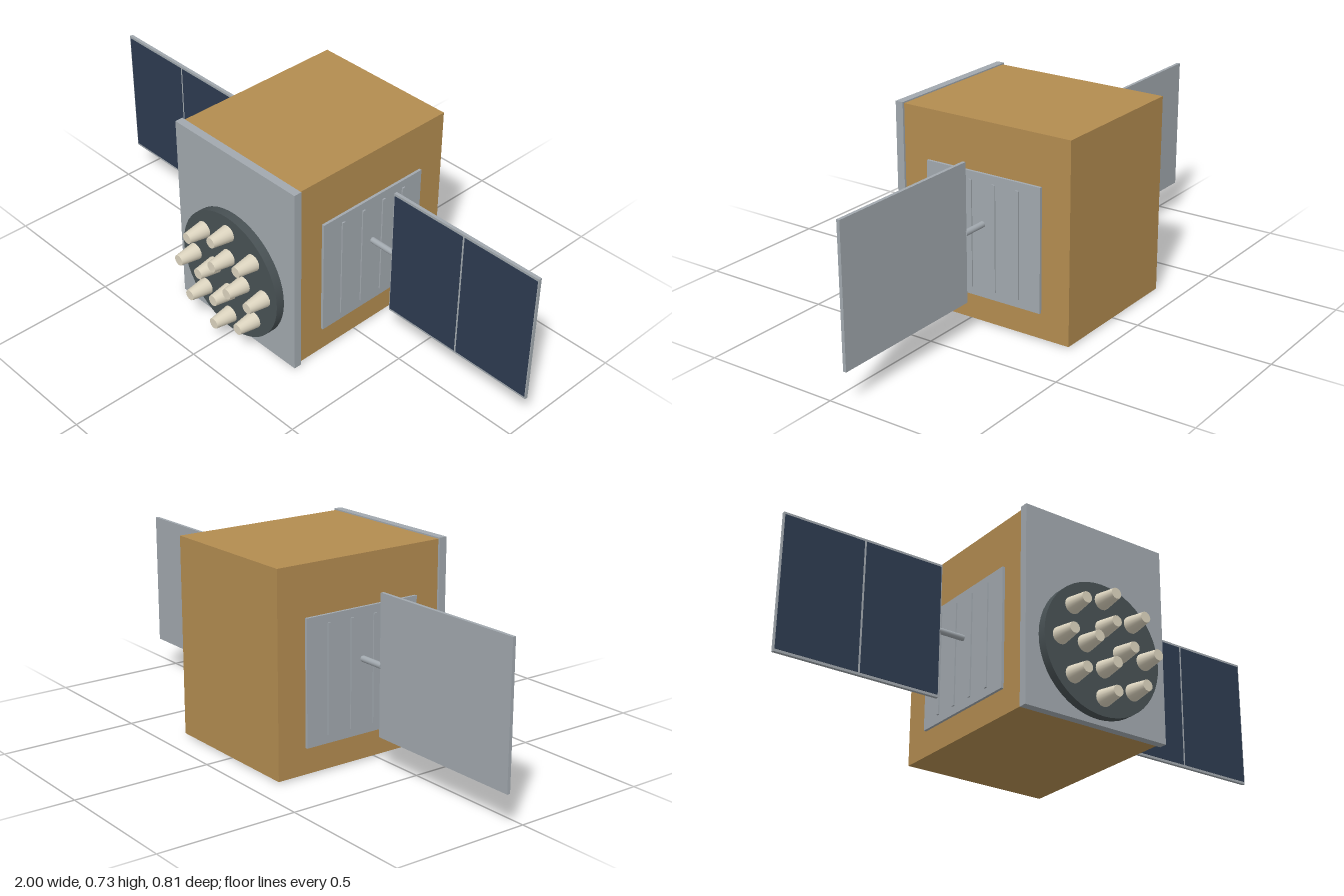
import * as THREE from 'three';

const mat = (name, color) => {
  const m = new THREE.MeshStandardMaterial({ color });
  m.name = name;
  return m;
};

export function createModel() {
  const gold = mat('gold foil', 0xb38c50);
  const grey = mat('light grey metal', 0xa1a8ae);
  const dark = mat('dark grey metal', 0x485154);
  const cream = mat('cream antenna', 0xdbd3be);
  const navy = mat('navy solar cell', 0x2d3b50);

  const root = new THREE.Group();
  root.name = 'satellite';

  const add = (parent, name, geometry, material, x, y, z) => {
    const mesh = new THREE.Mesh(geometry, material);
    mesh.name = name;
    mesh.position.set(x, y, z);
    parent.add(mesh);
    return mesh;
  };
  // Box given by its lower and upper limits
  const box = (parent, name, material, [x0, x1], [y0, y1], [z0, z1]) =>
    add(parent, name, new THREE.BoxGeometry(x1 - x0, y1 - y0, z1 - z0), material,
      (x0 + x1) / 2, (y0 + y1) / 2, (z0 + z1) / 2);

  // Foil-covered body and front plate
  box(root, 'body', gold, [-0.284, 0.284], [0.006, 0.724], [-0.405, 0.265]);
  box(root, 'frontPlate', grey, [-0.292, 0.292], [0, 0.729], [0.265, 0.295]);

  // Round antenna base
  const discY = 0.259;
  add(root, 'antennaBase',
    new THREE.CylinderGeometry(0.24, 0.24, 0.032, 48).rotateX(Math.PI / 2), dark, 0, discY, 0.311);

  // Two rings of tapered helix antennas
  const cone = new THREE.CylinderGeometry(0.02, 0.031, 0.078, 16).rotateX(Math.PI / 2);
  for (const [count, radius] of [[8, 0.176], [4, 0.074]]) {
    for (let i = 0; i < count; i++) {
      const a = (i / count) * Math.PI * 2;
      add(root, 'antenna', cone, cream, Math.cos(a) * radius, discY + Math.sin(a) * radius, 0.366);
    }
  }

  // Radiator, boom and solar wing on each side
  for (const side of [1, -1]) {
    const span = (a, b) => (side > 0 ? [a, b] : [-b, -a]);
    const group = new THREE.Group();
    group.name = side > 0 ? 'leftSide' : 'rightSide';
    root.add(group);

    box(group, 'radiator', grey, span(0.284, 0.294), [0.1, 0.545], [-0.296, 0.165]);
    for (const z of [0.078, -0.017, -0.112, -0.207]) {
      box(group, 'radiatorRib', grey, span(0.293, 0.299), [0.13, 0.516], [z - 0.006, z + 0.006]);
    }

    add(group, 'boom', new THREE.CylinderGeometry(0.011, 0.011, 0.11, 16).rotateZ(Math.PI / 2),
      grey, side * 0.339, 0.366, -0.065);

    box(group, 'wingPanel', grey, span(0.39, 1), [0.118, 0.615], [-0.071, -0.059]);
    for (const [a, b] of [[0.394, 0.691], [0.699, 0.996]]) {
      box(group, 'solarCells', navy, span(a, b), [0.127, 0.606], [-0.06, -0.0575]);
    }
  }
  return root;
}
